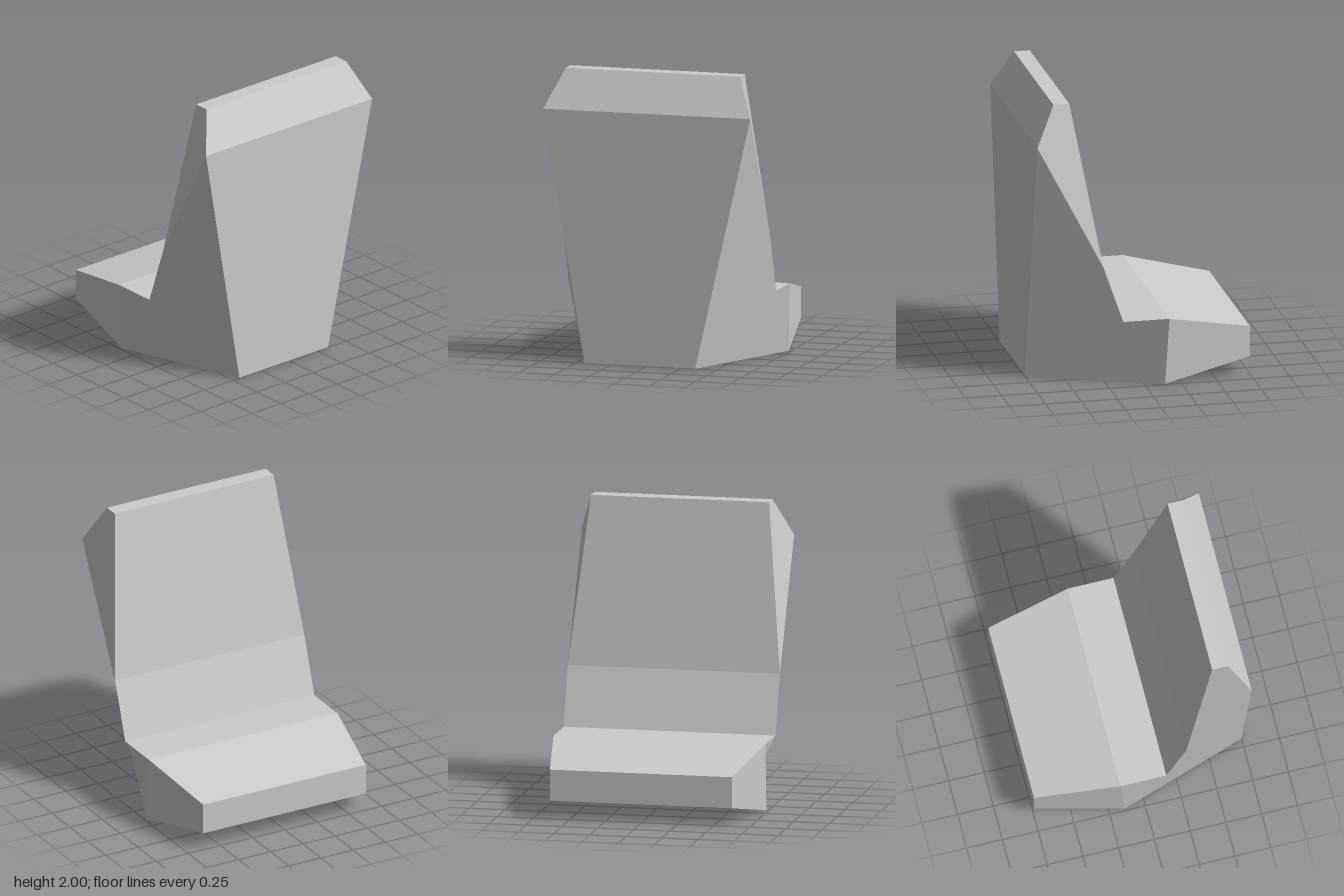
import * as THREE from 'three';

// Seat outline, counter-clockwise in x/y: [x, y, z on left side, z on right side]
const OUTLINE = {
  frontLow: [-0.75, 0.125, 0.63, -0.635],
  baseFront: [-0.14, 0, 0.735, -0.735],
  baseRear: [0.747, 0, 0.44, -0.345],
  shoulder: [0.747, 1.735, 0.735, -0.735],
  topRear: [0.61, 2, 0.615, -0.62],
  topFront: [0.5, 2, 0.615, -0.62],
  backBend: [0.29, 0.86, 0.735, -0.735],
  seatRear: [0.15, 0.46, 0.735, -0.735],
  seatFront: [-0.17, 0.46, 0.735, -0.735],
  frontHigh: [-0.75, 0.34, 0.63, -0.635],
};

const corner = (name, side) => {
  const [x, y, left, right] = OUTLINE[name];
  return new THREE.Vector3(x, y, side > 0 ? left : right);
};

// Each panel is fanned from its first corner and shaded flat with one normal
function panelMesh(name, panels, material) {
  const positions = [];
  const normals = [];
  for (const points of panels) {
    const normal = new THREE.Vector3();
    points.forEach((p, i) => {
      normal.add(p.clone().cross(points[(i + 1) % points.length]));
    });
    normal.normalize();
    for (let i = 1; i < points.length - 1; i++) {
      for (const p of [points[0], points[i], points[i + 1]]) {
        positions.push(p.x, p.y, p.z);
        normals.push(normal.x, normal.y, normal.z);
      }
    }
  }
  const geometry = new THREE.BufferGeometry();
  geometry.setAttribute('position', new THREE.Float32BufferAttribute(positions, 3));
  geometry.setAttribute('normal', new THREE.Float32BufferAttribute(normals, 3));
  const mesh = new THREE.Mesh(geometry, material);
  mesh.name = name;
  return mesh;
}

// Strip across the full width between two outline corners
const across = (a, b) => [corner(a, 1), corner(a, -1), corner(b, -1), corner(b, 1)];

// Side panel; the right side runs the other way round
function sidePanel(names, side) {
  const [first, ...rest] = names;
  const order = side > 0 ? names : [first, ...rest.reverse()];
  return order.map((n) => corner(n, side));
}

export function createModel() {
  const grey = new THREE.MeshStandardMaterial({ color: 0xcccccc });
  grey.name = 'light grey';
  const group = new THREE.Group();
  group.name = 'seat';

  // Panels spanning the width
  const strips = {
    underside: [['frontLow', 'baseFront'], ['baseFront', 'baseRear']],
    backPanel: [['baseRear', 'shoulder'], ['shoulder', 'topRear']],
    topEdge: [['topRear', 'topFront']],
    backrest: [['topFront', 'backBend'], ['backBend', 'seatRear']],
    cushion: [['seatRear', 'seatFront'], ['seatFront', 'frontHigh']],
    frontEdge: [['frontHigh', 'frontLow']],
  };
  for (const [name, pairs] of Object.entries(strips)) {
    group.add(panelMesh(name, pairs.map(([a, b]) => across(a, b)), grey));
  }

  // Sides: tapered seat front, main flank, headrest bevel
  for (const [label, side] of [['left', 1], ['right', -1]]) {
    const parts = {
      SeatTaper: ['frontLow', 'baseFront', 'seatFront', 'frontHigh'],
      Flank: ['baseRear', 'shoulder', 'backBend', 'seatRear', 'seatFront', 'baseFront'],
      HeadrestBevel: ['shoulder', 'topRear', 'topFront', 'backBend'],
    };
    for (const [part, names] of Object.entries(parts)) {
      group.add(panelMesh(label + part, [sidePanel(names, side)], grey));
    }
  }
  return group;
}
